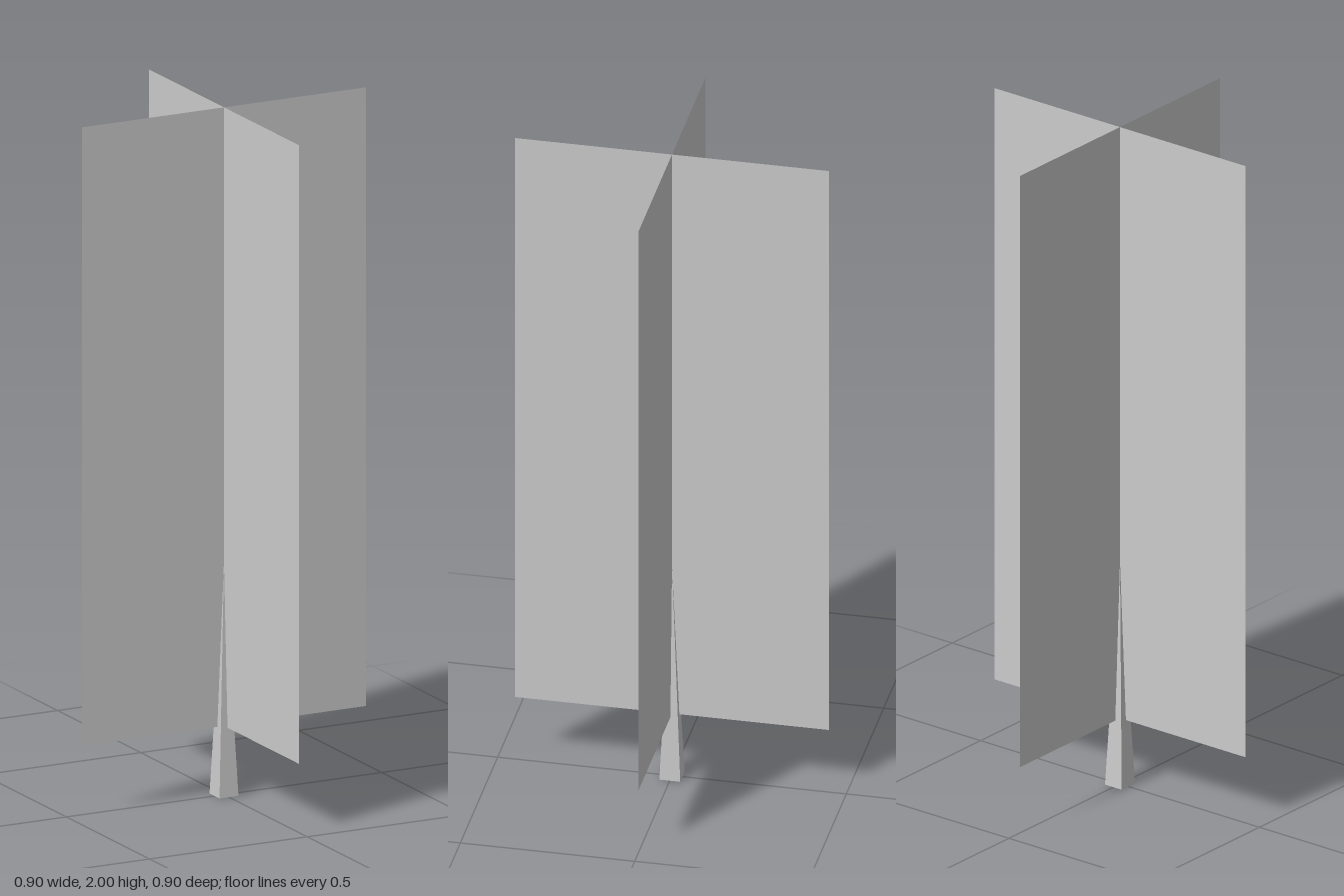
import * as THREE from 'three';

export function createModel() {
  const model = new THREE.Group();
  const material = new THREE.MeshStandardMaterial({
    color: 0xcccccc, flatShading: true, side: THREE.DoubleSide,
  });

  // Trunk: slender square pyramid, sides facing the axes
  const trunkHeight = 0.68, trunkHalfWidth = 0.03;
  const trunkGeometry = new THREE.ConeGeometry(trunkHalfWidth * Math.SQRT2, trunkHeight, 4);
  trunkGeometry.rotateY(Math.PI / 4).translate(0, trunkHeight / 2, 0);
  const trunk = new THREE.Mesh(trunkGeometry, material);
  trunk.name = 'trunk';
  model.add(trunk);

  // Foliage: two upright cards crossing at right angles
  const foliage = new THREE.Group();
  foliage.name = 'foliage';
  const cardGeometry = new THREE.PlaneGeometry(0.9, 1.8).translate(0, 1.1, 0);
  ['foliageCardAcross', 'foliageCardDeep'].forEach((name, i) => {
    const card = new THREE.Mesh(cardGeometry, material);
    card.name = name;
    card.rotation.y = i * Math.PI / 2;
    foliage.add(card);
  });
  model.add(foliage);

  return model;
}
